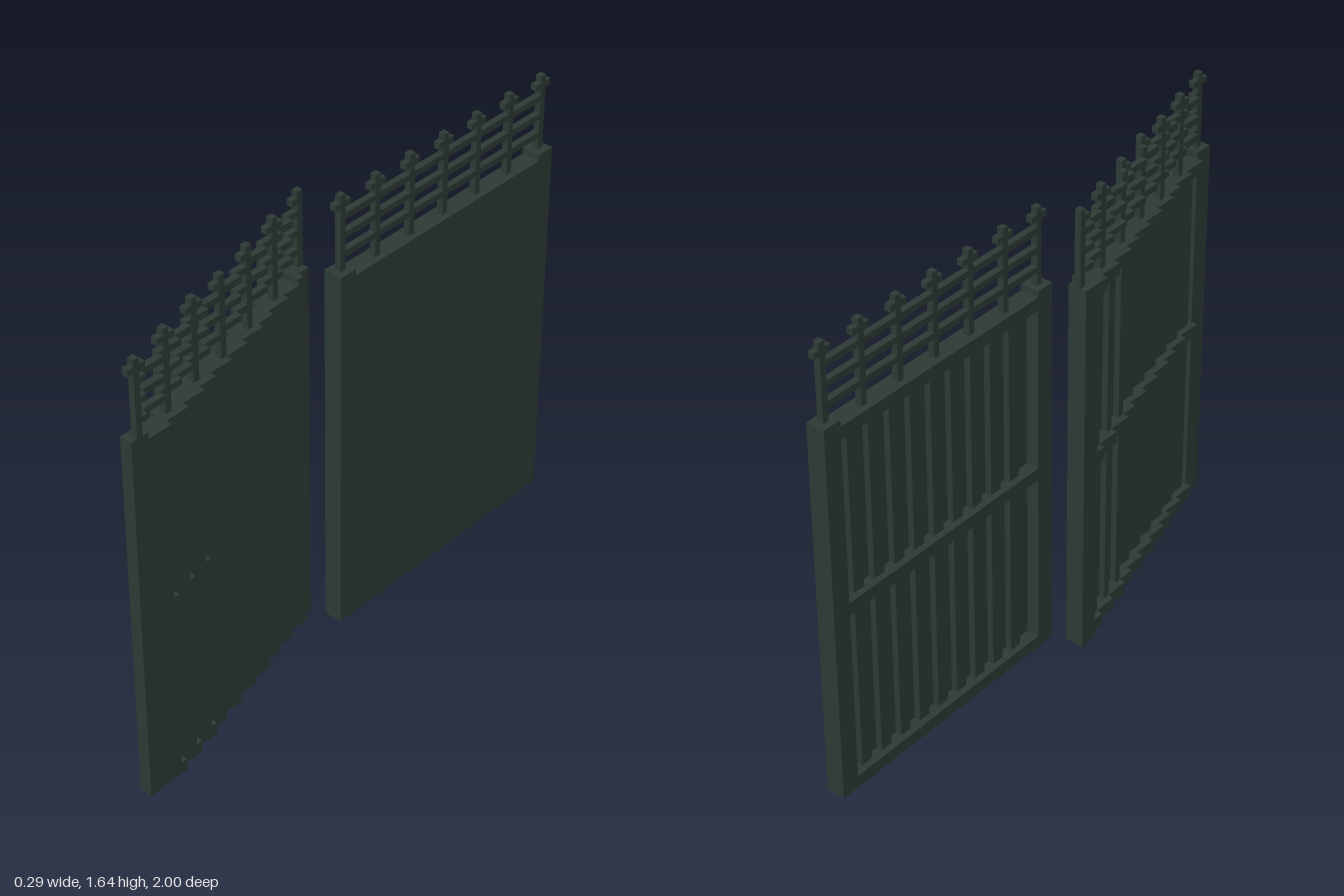
import * as THREE from 'three';

// Grid unit: the gate is laid out on a grid 13 wide, 73 high and 89 deep.
const U = 2 / 89;

export function createModel() {
  const iron = new THREE.MeshStandardMaterial({ color: 0x2d3b35 });
  iron.name = 'dark green iron';

  // Box given by its start and end on the grid.
  function block(parent, name, x0, x1, y0, y1, z0, z1) {
    const geo = new THREE.BoxGeometry((x1 - x0) * U, (y1 - y0) * U, (z1 - z0) * U);
    geo.translate(((x0 + x1) / 2 - 6.5) * U, ((y0 + y1) / 2) * U, ((z0 + z1) / 2 - 44.5) * U);
    const mesh = new THREE.Mesh(geo, iron);
    mesh.name = name;
    parent.add(mesh);
  }

  // One leaf. `steps` lists where the frame shifts sideways by one unit;
  // `face` and `railFace` do the same for the sheet and the rails' outer side.
  function leaf({ name, start, length, x, steps, face, railFace, posts }) {
    const group = new THREE.Group();
    group.name = name;

    // Run a bar between a and b, split wherever the leaf steps sideways.
    function run(part, a, b, y0, y1, dx0, dx1, list = steps) {
      const cuts = [0, ...list, length];
      for (let i = 0; i < cuts.length - 1; i++) {
        const z0 = Math.max(a, cuts[i]), z1 = Math.min(b, cuts[i + 1]);
        if (z0 >= z1) continue;
        const x0 = x + i + dx0, x1 = Math.min(x + i + dx1, 13);
        block(group, part, x0, x1, y0, y1, start + z0, start + z1);
      }
    }

    // outer sheet, frame rails and stiles
    run('sheet', 0, length, 0, 60, 2, 3, face);
    for (const y of [0, 30, 58]) {
      run('frameRail', 0, length, y, y + 2, 0, 3);
      run('frameRailFace', 0, length, y, y + 2, 2, 3, railFace);
    }
    for (const a of [0, length - 3]) {
      run('stile', a, a + 3, 0, 61, 0, 3);
      run('stileFace', a, a + 3, 0, 61, 2, 3, railFace);
    }

    // upright battens in the two recessed panels
    for (let z = 5; z < length - 4; z += 4) {
      run('batten', z, z + 2, 2, 58, 1, 2);
    }

    // openwork crest: three bars and posts with cross tips
    const first = posts[0], last = posts[posts.length - 1] + 1;
    for (const y of [63, 66, 69]) run('crestBar', first, last, y, y + 1, 1, 2);
    for (const z of posts) {
      run('crestPost', z, z + 1, 60, 73, 1, 2);
      run('crossTip', z - 1, z + 2, 71, 72, 1, 2);
    }
    return group;
  }

  const model = new THREE.Group();
  model.name = 'gate';
  model.add(leaf({
    name: 'closedLeaf', start: 0, length: 45, x: 5,
    steps: [], face: [], railFace: [],
    posts: [1, 8, 15, 22, 29, 36, 43],
  }));
  model.add(leaf({
    name: 'openLeaf', start: 46, length: 43, x: 0,
    steps: [3, 6, 10, 14, 17, 21, 25, 29, 32, 36, 40],
    face: [2, 6, 10, 13, 17, 21, 25, 29, 33, 37],
    railFace: [2, 6, 10, 13, 17, 21, 25, 28, 32, 36],
    posts: [0, 7, 14, 21, 27, 34, 41],
  }));
  return model;
}
